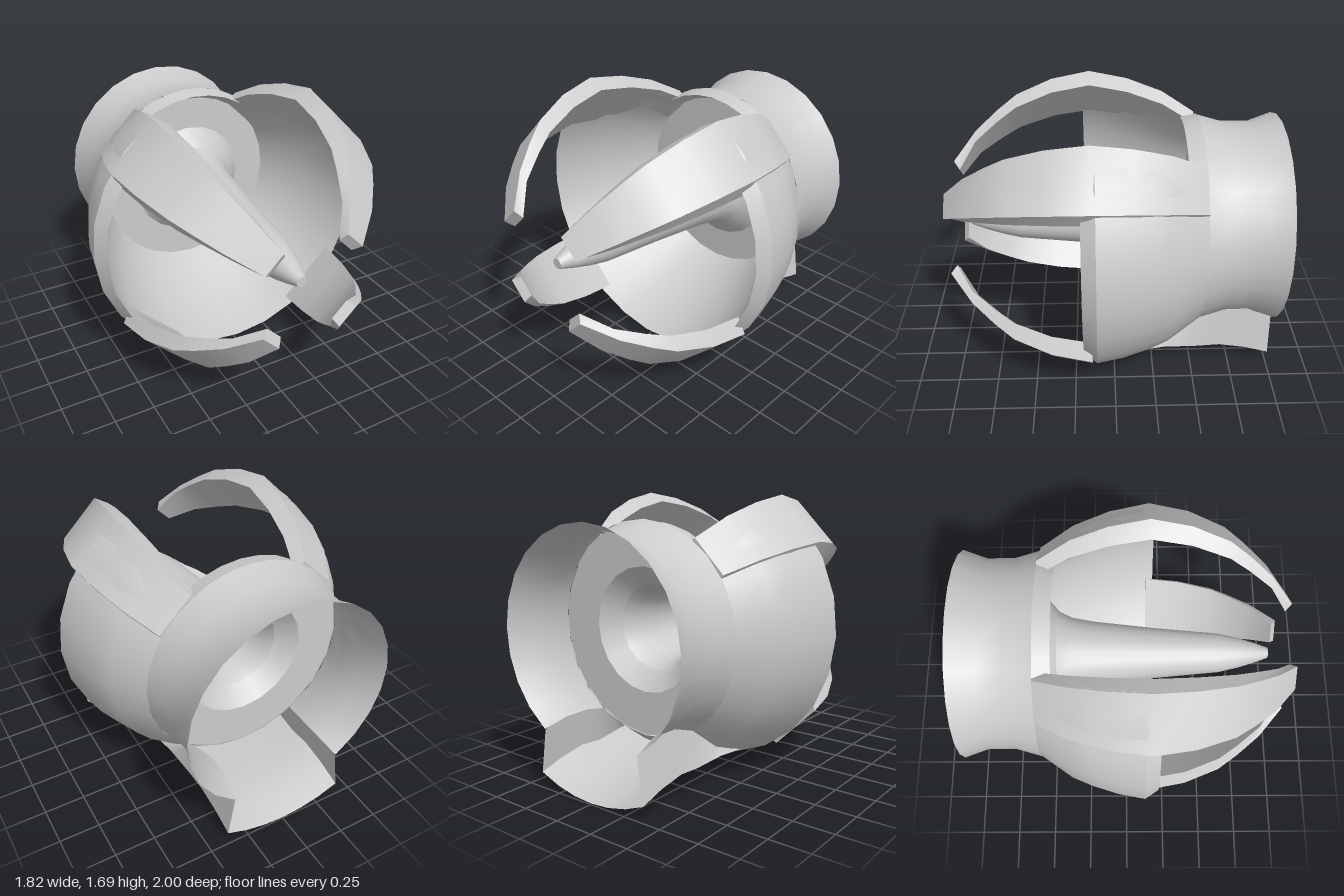
import * as THREE from 'three';

const CY = 0.915; // height of the main axis, which runs along z
const DEG = Math.PI / 180;
const mat = new THREE.MeshStandardMaterial({ color: 0xcccccc, side: THREE.DoubleSide });

function add(parent, name, geometry) {
  const mesh = new THREE.Mesh(geometry, mat);
  mesh.name = name;
  parent.add(mesh);
  return mesh;
}

// Surface turned about the z axis; points are [z, radius], angle 0 is at the bottom.
function turned(points, from = 0, sweep = 360, segments = 20) {
  const profile = points.map(([z, r]) => new THREE.Vector2(r, z));
  return new THREE.LatheGeometry(profile, segments, from * DEG, sweep * DEG)
    .rotateX(Math.PI / 2).translate(0, CY, 0);
}

// Smooth surface through rows of equally many points.
function skin(rows) {
  const n = rows[0].length, index = [];
  for (let i = 0; i < rows.length - 1; i++)
    for (let j = 0; j < n - 1; j++) {
      const a = i * n + j, b = a + n;
      index.push(a, a + 1, b, a + 1, b + 1, b);
    }
  const g = new THREE.BufferGeometry();
  g.setAttribute('position', new THREE.Float32BufferAttribute(rows.flat(2), 3));
  g.setIndex(index);
  g.computeVertexNormals();
  return g;
}

// Claw stations: [z, larger offset of the outer edge]
const CLAW = [[-0.52, 0.555], [-0.32, 0.665], [-0.1, 0.735], [0.14, 0.775], [0.38, 0.735],
  [0.6, 0.655], [0.72, 0.575], [0.86, 0.465], [1, 0.305]];

function claw(name, sx, sy, stations) {
  const group = new THREE.Group();
  group.name = name;
  const rings = stations.map(([z, b]) => {
    const t = (b - 0.305) / 0.47;
    const a = 0.2 + 0.31 * t;
    const a2 = a - 0.03 - 0.07 * t, b2 = b - 0.045 - 0.01 * t;
    const zi = z > 0.9 ? z - 0.035 : z;
    const ring = [[a, b, z], [b, a, z], [b2, a2, zi], [a2, b2, zi]]
      .map(([x, y, w]) => [sx * x, CY + sy * y, w]);
    return sx * sy > 0 ? ring : ring.reverse();
  });
  // four sides with sharp edges between them
  for (let k = 0; k < 4; k++)
    add(group, 'clawSide', skin(rings.map(r => [r[(k + 1) % 4], r[k]])));
  for (const r of [rings[0], rings[rings.length - 1]])
    add(group, 'clawEnd', skin([[r[0], r[1]], [r[3], r[2]]]));
  return group;
}

export function createModel() {
  const model = new THREE.Group();
  model.name = 'clawModel';

  // Bowl, open at the top between the two upper claws
  const from = 213, sweep = 294;
  add(model, 'bowlOuter', turned([[-0.52, 0.645], [-0.32, 0.785], [-0.2, 0.835], [-0.05, 0.882], [0.11, 0.912]], from, sweep));
  add(model, 'bowlLip', turned([[0.11, 0.912], [0.19, 0.86]], from, sweep));
  add(model, 'bowlInner', turned([[0.19, 0.86], [0.02, 0.82], [-0.18, 0.75], [-0.36, 0.66], [-0.52, 0.58]], from, sweep));

  // Low bridge at the back of the top opening
  add(model, 'topBridge', turned([[-0.52, 0.645], [-0.42, 0.625]], 146, 68, 6));
  add(model, 'topBridgeInner', turned([[-0.42, 0.625], [-0.52, 0.58]], 146, 68, 6));

  // Flared collar at the back, cut away at the bottom
  add(model, 'collar', turned([[-1, 0.65], [-0.85, 0.597], [-0.68, 0.6], [-0.52, 0.645]], 33, 294));

  // Back plate and the hollow central spike
  add(model, 'backPlate', turned([[-0.52, 0.64], [-0.52, 0.375]]));
  add(model, 'hub', turned([[-0.52, 0.375], [-0.42, 0.265]]));
  add(model, 'spike', turned([[-0.42, 0.265], [-0.34, 0.225], [-0.2, 0.2], [0, 0.178], [0.2, 0.156],
    [0.4, 0.138], [0.58, 0.122], [0.7, 0.095], [0.8, 0.065], [0.89, 0.033]]));
  add(model, 'spikeTip', turned([[0.89, 0.033], [0.89, 0]]));

  // Open channel under the collar: [z, outer radius, body radius, half width]
  const channel = [[-1, 0.905, 0.65, 0.39], [-0.85, 0.865, 0.597, 0.39], [-0.68, 0.84, 0.6, 0.39],
    [-0.52, 0.85, 0.645, 0.39], [-0.32, 0.845, 0.785, 0.41], [-0.1, 0.868, 0.866, 0.44]];
  const drop = (r, x) => CY - Math.sqrt(r * r - x * x);
  add(model, 'channelFloor', skin(channel.map(([z, r, , w]) =>
    Array.from({ length: 7 }, (_, i) => {
      const x = w * (i / 3 - 1);
      return [x, drop(r, x), z];
    }))));
  for (const s of [-1, 1])
    add(model, s > 0 ? 'leftChannelWall' : 'rightChannelWall', skin(channel.map(([z, r, body, w]) => {
      const top = [s * (w - 0.04), drop(body, w - 0.04), z], low = [s * w, drop(r, w), z];
      return s > 0 ? [low, top] : [top, low];
    })));

  // Four claws; the upper pair runs back along the top opening as ridges
  for (const s of [-1, 1]) {
    const side = s > 0 ? 'left' : 'right';
    model.add(claw(side + 'UpperClaw', s, 1, CLAW));
    model.add(claw(side + 'LowerClaw', s, -1, CLAW.slice(3)));
  }
  return model;
}
